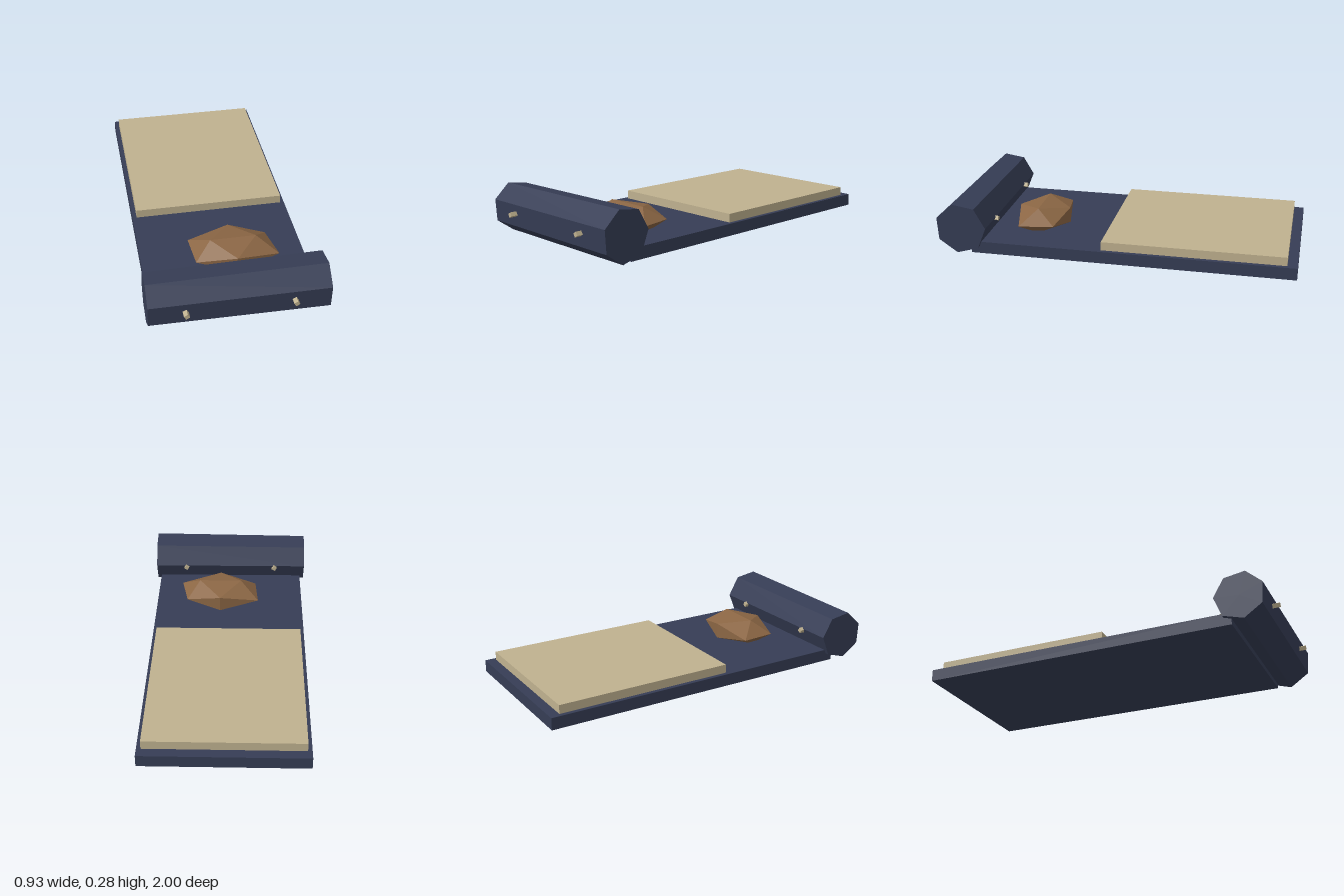
import * as THREE from 'three';
import { ConvexGeometry } from 'three/addons/geometries/ConvexGeometry.js';

const flat = (name, color) => {
  const m = new THREE.MeshStandardMaterial({ color, flatShading: true });
  m.name = name;
  return m;
};

export function createModel() {
  const group = new THREE.Group();
  const navy = flat('navy cloth', 0x363d55);
  const sand = flat('sand cloth', 0xbfb18f);
  const brown = flat('brown leather', 0x8b6644);

  const add = (name, geometry, material, x, y, z) => {
    const mesh = new THREE.Mesh(geometry, material);
    mesh.name = name;
    mesh.position.set(x, y, z);
    group.add(mesh);
    return mesh;
  };

  // Ground mat and the folded blanket lying on it
  add('mat', new THREE.BoxGeometry(0.886, 0.067, 1.785), navy, 0, 0.0335, -0.1075);
  add('blanket', new THREE.BoxGeometry(0.84, 0.05, 1.0), sand, 0, 0.09, -0.445);

  // Seven-sided, slightly tapered roll across the front end
  const roll = new THREE.CylinderGeometry(0.145, 0.137, 0.934, 7, 1, false, -0.379);
  roll.rotateZ(-Math.PI / 2);
  add('roll', roll, navy, 0, 0.146, 0.836);

  // Ties passing through the roll
  for (const side of [-1, 1]) {
    const tie = add('tie', new THREE.BoxGeometry(0.023, 0.023, 0.322), sand, side * 0.278, 0.147, 0.839);
    tie.rotation.z = Math.PI / 6;
  }

  // Faceted bundle: an uneven, flattened twenty-sided lump
  const corners = [
    [-0.23, 0, -0.105], [0.2, 0, -0.1], [0.238, 0, 0.09], [-0.215, 0, 0.09],
    [0, 0.043, -0.149], [0, 0.043, 0.147], [0, -0.045, -0.149], [0, -0.045, 0.147],
    [-0.125, 0.073, 0.005], [0.125, 0.073, 0.005], [-0.13, -0.073, 0], [0.13, -0.073, 0],
  ].map((p) => new THREE.Vector3(...p));
  add('bundle', new ConvexGeometry(corners), brown, 0.056, 0.111, 0.468);

  return group;
}
